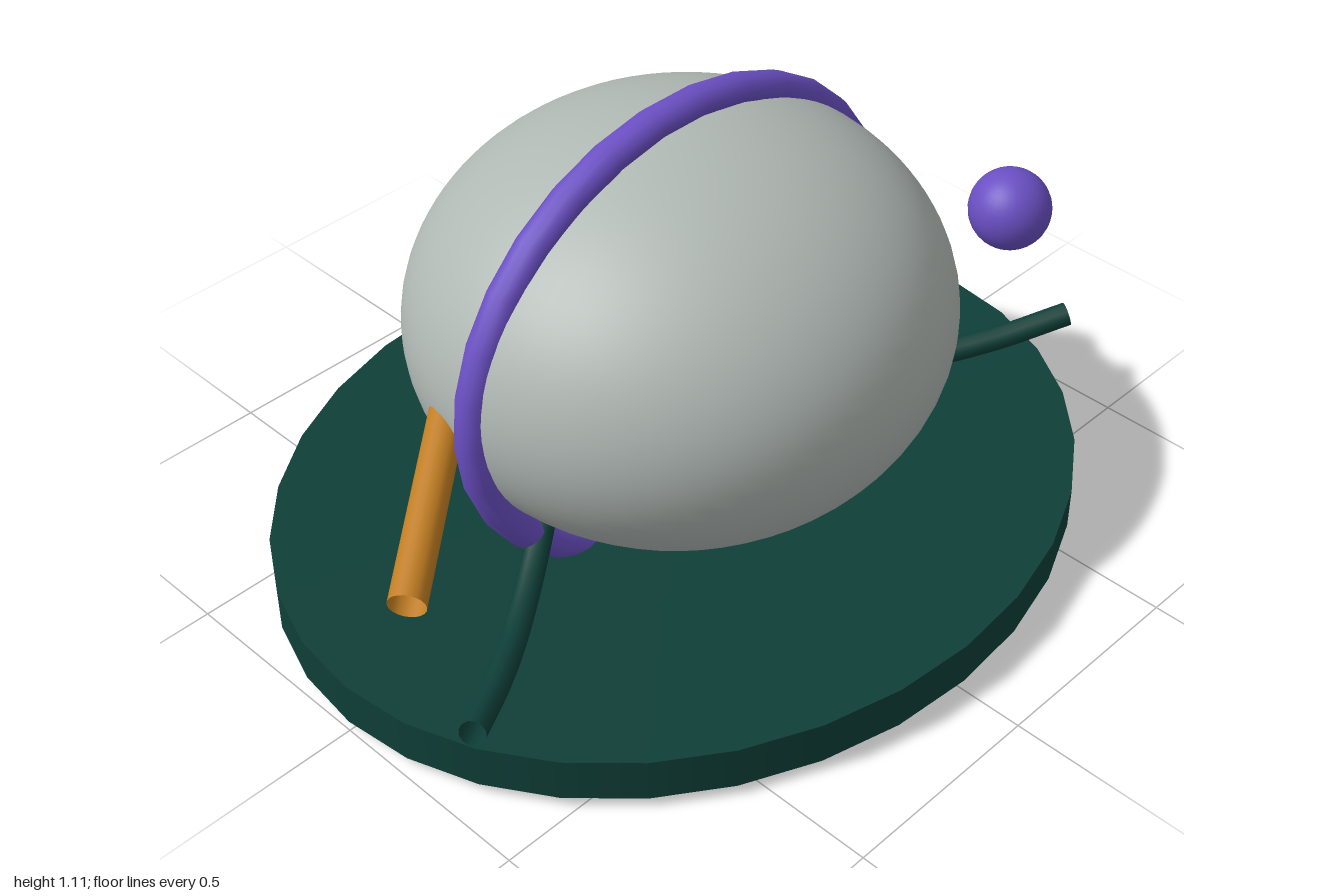
import * as THREE from 'three';

const mat = (name, color, side = THREE.FrontSide) => {
  const m = new THREE.MeshStandardMaterial({ color, side });
  m.name = name;
  return m;
};

export function createModel() {
  const group = new THREE.Group();
  const grey = mat('stone grey', 0xb0b8b4);
  const purple = mat('violet', 0x6a4fc3);
  const green = mat('dark green', 0x0f3f38, THREE.DoubleSide);
  const orange = mat('amber', 0xc07d22, THREE.DoubleSide);
  const red = mat('coral red', 0xcd5c5c);
  const v = (x, y, z) => new THREE.Vector3(x, y, z);

  const add = (name, geometry, material, x = 0, y = 0, z = 0) => {
    const mesh = new THREE.Mesh(geometry, material);
    mesh.name = name;
    mesh.position.set(x, y, z);
    group.add(mesh);
    return mesh;
  };

  // Oval base plate
  add('base', new THREE.CylinderGeometry(1, 1, 0.105, 32), green, 0, 0.0825, 0)
    .scale.set(1, 1, 0.85);

  // Large ellipsoid body
  add('body', new THREE.SphereGeometry(1, 64, 40), grey, 0, 0.593, 0)
    .scale.set(0.622, 0.469, 0.605);

  // Slightly leaning hoop around the body
  const hoop = add('hoop', new THREE.TorusGeometry(0.614, 0.04, 12, 30), purple, 0, 0.56, 0);
  hoop.scale.set(1, 0.856, 1);
  hoop.rotation.x = -0.042;

  // Ball floating off the front
  add('ball', new THREE.SphereGeometry(0.091, 32, 20), purple, 0.528, 0.822, 0.477);

  // Small cone on the hoop, point inward
  const cone = add('stud', new THREE.ConeGeometry(0.042, 0.08, 20), red, 0.63, 0.608, 0);
  cone.rotation.z = Math.PI / 2 + 0.15;

  // Open straight spout
  const spout = new THREE.LineCurve3(v(-0.5, 0.573, -0.184), v(-0.938, 0.43, 0.158));
  add('spout', new THREE.TubeGeometry(spout, 1, 0.041, 20), orange);

  // Mirrored pair of curved arms
  for (const [name, s] of [['leftArm', 1], ['rightArm', -1]]) {
    const path = new THREE.CatmullRomCurve3([
      v(0.38 * s, 0.3, -0.03), v(0.5 * s, 0.215, 0.05), v(0.66 * s, 0.17, 0.16),
      v(0.8 * s, 0.193, 0.26), v(0.965 * s, 0.245, 0.37),
    ]);
    add(name, new THREE.TubeGeometry(path, 24, 0.029, 12), green);
  }
  return group;
}
